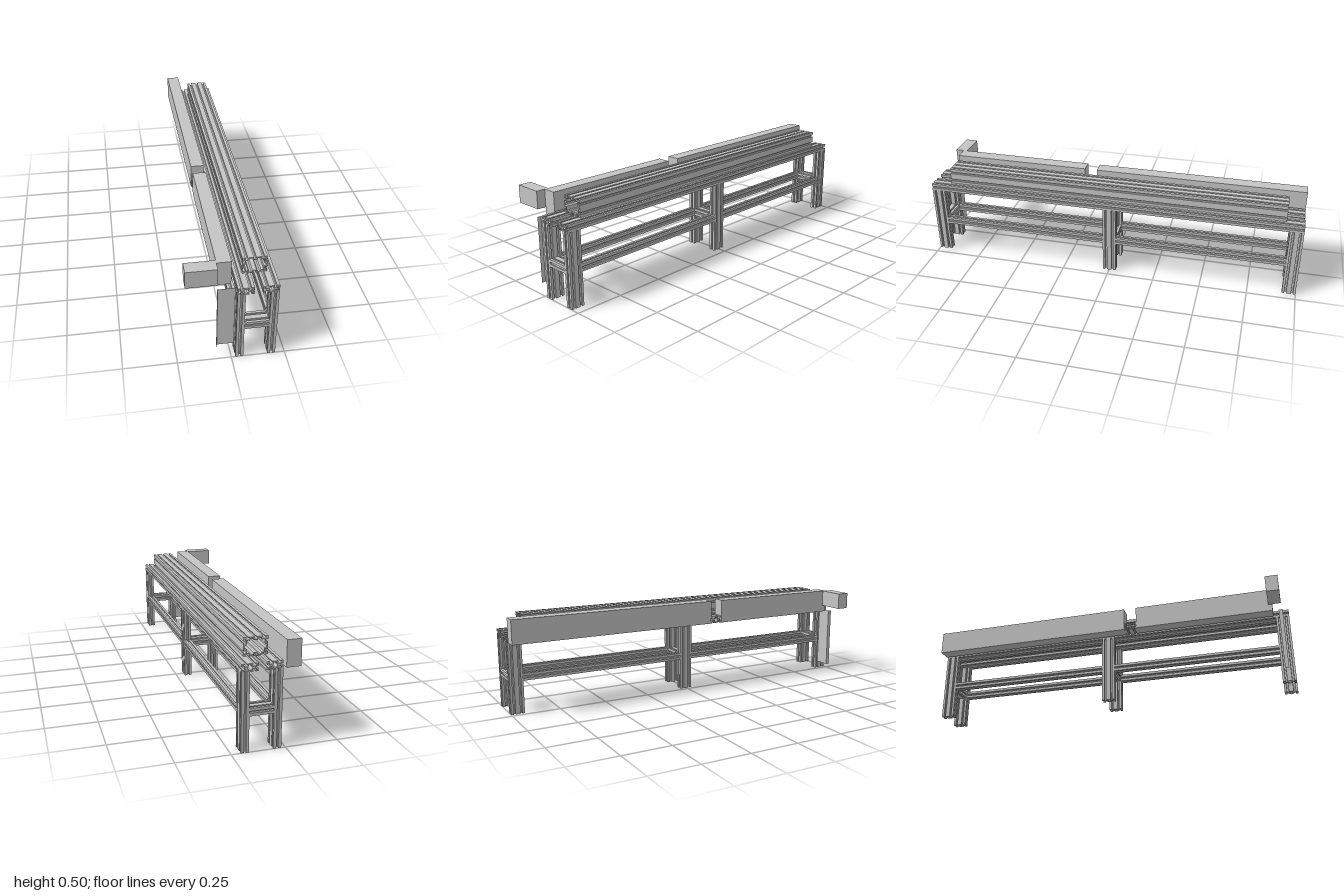
import * as THREE from 'three';

const aluminium = new THREE.MeshStandardMaterial({ color: 0xc4c4c4, side: THREE.DoubleSide });

// One T-slot as [offset along side, depth below surface]
const SLOT = [[-0.005, 0], [-0.005, 0.004], [-0.011, 0.004], [-0.004, 0.013],
  [0.004, 0.013], [0.011, 0.004], [0.005, 0.004], [0.005, 0]];
// Chamber bulge between two slots
const BULGE = [[-0.0095, 0.0155], [-0.0045, 0.006], [0.0045, 0.006], [0.0095, 0.0155]];

// Walks the four sides of a rectangle, placing a [u, depth] pattern at given fractions of each side
function outline(w, h, nx, ny, inset, pattern, fractions) {
  const pts = [];
  [[w, h, nx], [h, w, ny], [w, h, nx], [h, w, ny]].forEach(([length, depth, n], k) => {
    const c = [1, 0, -1, 0][k], s = [0, 1, 0, -1][k];
    const add = (u, d) => {
      const v = -depth / 2 + d;
      pts.push(new THREE.Vector2(u * c - v * s, u * s + v * c));
    };
    add(-length / 2 + inset, inset);
    for (const f of fractions(n)) pattern.forEach(([u, d]) => add((f - 0.5) * length + u, d));
  });
  return pts;
}
const cellCentres = (n) => Array.from({ length: n }, (_, i) => (i + 0.5) / n);
const cellBorders = (n) => Array.from({ length: n - 1 }, (_, i) => (i + 1) / n);

// Slotted extrusion section, nx by ny cells, with a hollow chamber
function section(w, h, nx, ny) {
  const shape = new THREE.Shape(outline(w, h, nx, ny, 0, SLOT, cellCentres));
  const hex = [[0.0045, 0.0125], [-0.0045, 0.0125], [-0.0105, 0],
    [-0.0045, -0.0125], [0.0045, -0.0125], [0.0105, 0]];
  let hole = null;
  if (nx > 1 && ny > 1) hole = outline(w, h, nx, ny, 0.0155, BULGE, cellBorders);
  else if (nx > 1) hole = hex.map(([x, y]) => new THREE.Vector2(x, y));
  else if (ny > 1) hole = hex.map(([x, y]) => new THREE.Vector2(-y, x));
  if (hole) shape.holes.push(new THREE.Path(hole));
  return shape;
}

// Extruded bar centred at (x, y, z), running along the given axis
function bar(name, shape, length, axis, x, y, z) {
  const geo = new THREE.ExtrudeGeometry(shape, { depth: length, bevelEnabled: false });
  geo.translate(0, 0, -length / 2);
  if (axis === 'x') geo.rotateY(Math.PI / 2);
  if (axis === 'y') geo.rotateX(-Math.PI / 2);
  const mesh = new THREE.Mesh(geo, aluminium);
  mesh.name = name;
  mesh.position.set(x, y, z);
  return mesh;
}

// Box given by its lower and upper corners
function box(name, [x0, y0, z0], [x1, y1, z1]) {
  const mesh = new THREE.Mesh(new THREE.BoxGeometry(x1 - x0, y1 - y0, z1 - z0), aluminium);
  mesh.name = name;
  mesh.position.set((x0 + x1) / 2, (y0 + y1) / 2, (z0 + z1) / 2);
  return mesh;
}

export function createModel() {
  const model = new THREE.Group();
  model.name = 'conveyorFrame';

  const single = section(0.037, 0.037, 1, 1);
  const wide = section(0.075, 0.037, 2, 1);
  const tall = section(0.037, 0.07, 1, 2);
  const cross = section(0.07, 0.037, 2, 1);
  const main = section(0.113, 0.088, 3, 2);

  // Three pairs of legs with crossbars
  for (const z of [-0.965, 0, 0.965]) {
    for (const x of [0.0375, 0.1875]) model.add(bar('leg', tall, 0.373, 'y', x, 0.1865, z));
    model.add(bar('crossbar', cross, 0.113, 'x', 0.1125, 0.187, z));
  }

  // Lower rails between the legs on both sides
  for (const z of [-0.4825, 0.4825]) {
    for (const x of [0.0375, 0.1875]) model.add(bar('lowerRail', single, 0.895, 'z', x, 0.187, z));
  }

  // Side beams and the large beam on top
  for (const x of [0.0565, 0.1685]) model.add(bar('sideBeam', wide, 2, 'z', x, 0.3905, 0));
  model.add(bar('topBeam', main, 1.81, 'z', 0.1125, 0.45, -0.005));

  // Side housings with a gap, the arm and the bracket in the gap
  model.add(box('rearHousing', [-0.063, 0.373, -1], [0.005, 0.498, 0.115]));
  model.add(box('frontHousing', [-0.063, 0.373, 0.182], [0.005, 0.498, 0.92]));
  model.add(box('arm', [-0.207, 0.41, 0.9], [-0.063, 0.498, 0.965]));
  model.add(bar('gapBracket', cross, 0.07, 'x', -0.024, 0.392, 0.1485));

  // Thin angled support plate beside the front leg
  const plate = new THREE.Mesh(new THREE.PlaneGeometry(0.082, 0.334), aluminium);
  plate.name = 'supportPlate';
  plate.position.set(-0.022, 0.206, 0.95);
  const flange = new THREE.Mesh(new THREE.PlaneGeometry(0.02, 0.334), aluminium);
  flange.name = 'supportPlateFlange';
  flange.rotation.y = Math.PI / 2;
  flange.position.set(-0.063, 0.206, 0.96);
  model.add(plate, flange);

  return model;
}
